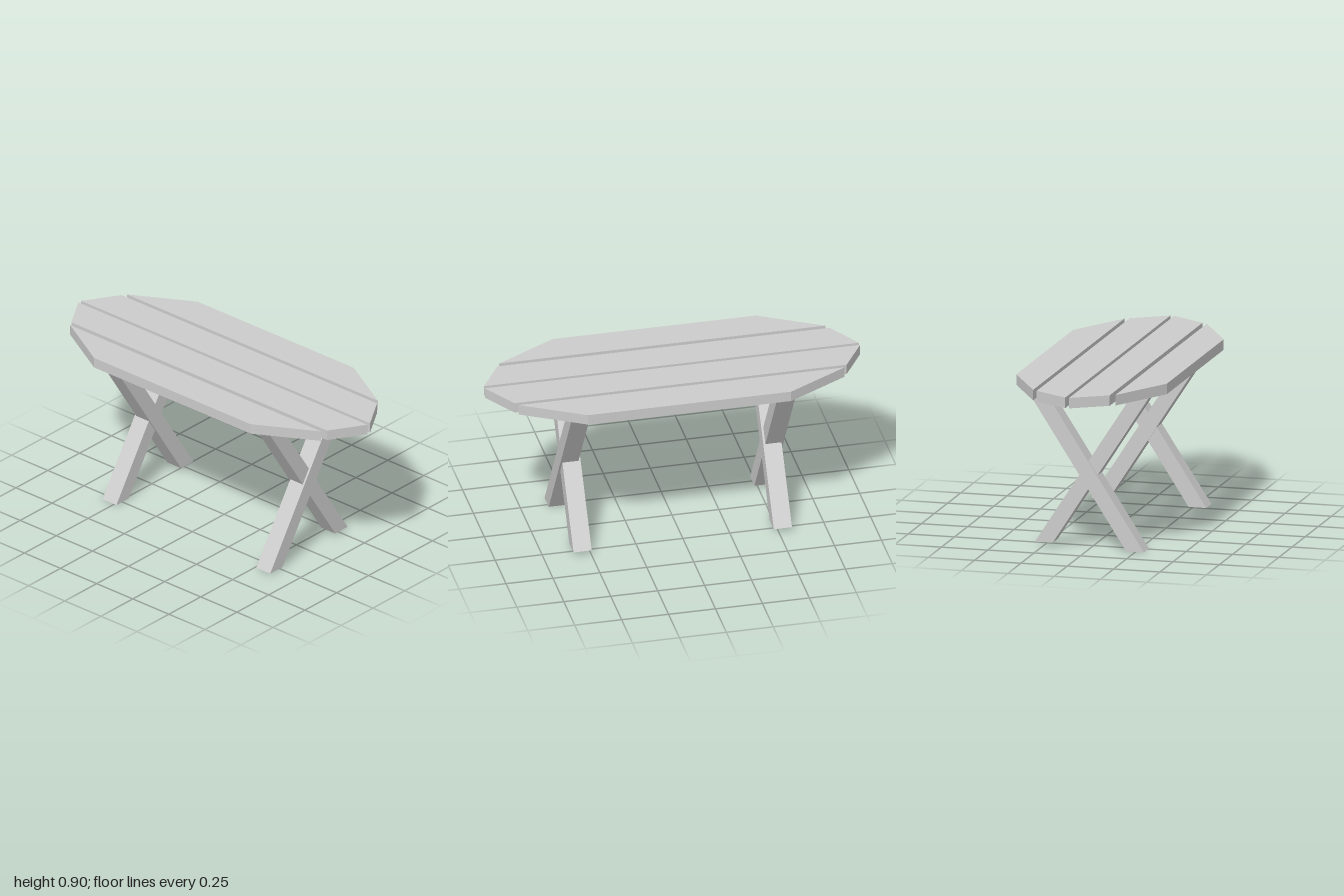
import * as THREE from 'three';

const material = new THREE.MeshStandardMaterial({ color: 0xcccccc, flatShading: true });

// Straight-sided prism from a 2D outline, extruded along +z
function prism(points, depth) {
  const shape = new THREE.Shape(points.map(([x, y]) => new THREE.Vector2(x, y)));
  return new THREE.ExtrudeGeometry(shape, { depth, bevelEnabled: false });
}

function addPart(group, name, geometry) {
  const mesh = new THREE.Mesh(geometry, material);
  mesh.name = name;
  group.add(mesh);
}

export function createModel() {
  const table = new THREE.Group();
  table.name = 'picnicTable';
  const topBottom = 0.84, topThickness = 0.056;

  // Four table top slats, ends cut to form an elongated octagon:
  // [x1, half length at x1, x2, half length at x2]
  const slats = [
    [-0.407, 0.541, -0.223, 0.869],
    [-0.196, 0.885, -0.010, 1.0],
    [0.011, 1.0, 0.197, 0.885],
    [0.221, 0.869, 0.405, 0.541],
  ];
  const top = new THREE.Group();
  top.name = 'tableTop';
  for (const [x1, l1, x2, l2] of slats) {
    const slat = prism([[x1, -l1], [x2, -l2], [x2, l2], [x1, l1]], topThickness);
    slat.rotateX(-Math.PI / 2).translate(0, topBottom, 0);
    addPart(top, 'slat', slat);
  }
  table.add(top);

  // Slanted leg with level ends; x values are the left edges at foot and top
  const legWidth = 0.096, legDepth = 0.097;
  const leg = (footX, footY, topX, backZ) => prism([
    [footX, footY], [footX + legWidth, footY],
    [topX + legWidth, topBottom], [topX, topBottom],
  ], legDepth).translate(0, 0, backZ);

  // Crossed leg pair at each end
  const pairs = [
    { name: 'frontLegs', shift: 0, rising: 0.507, falling: 0.496 },
    { name: 'backLegs', shift: 0.028, rising: -0.582, falling: -0.571 },
  ];
  for (const { name, shift, rising, falling } of pairs) {
    const pair = new THREE.Group();
    pair.name = name;
    addPart(pair, 'risingLeg', leg(-0.323 + shift, 0, 0.22 + shift, rising));
    addPart(pair, 'fallingLeg', leg(0.2, 0.019, -0.331, falling));
    table.add(pair);
  }
  return table;
}
